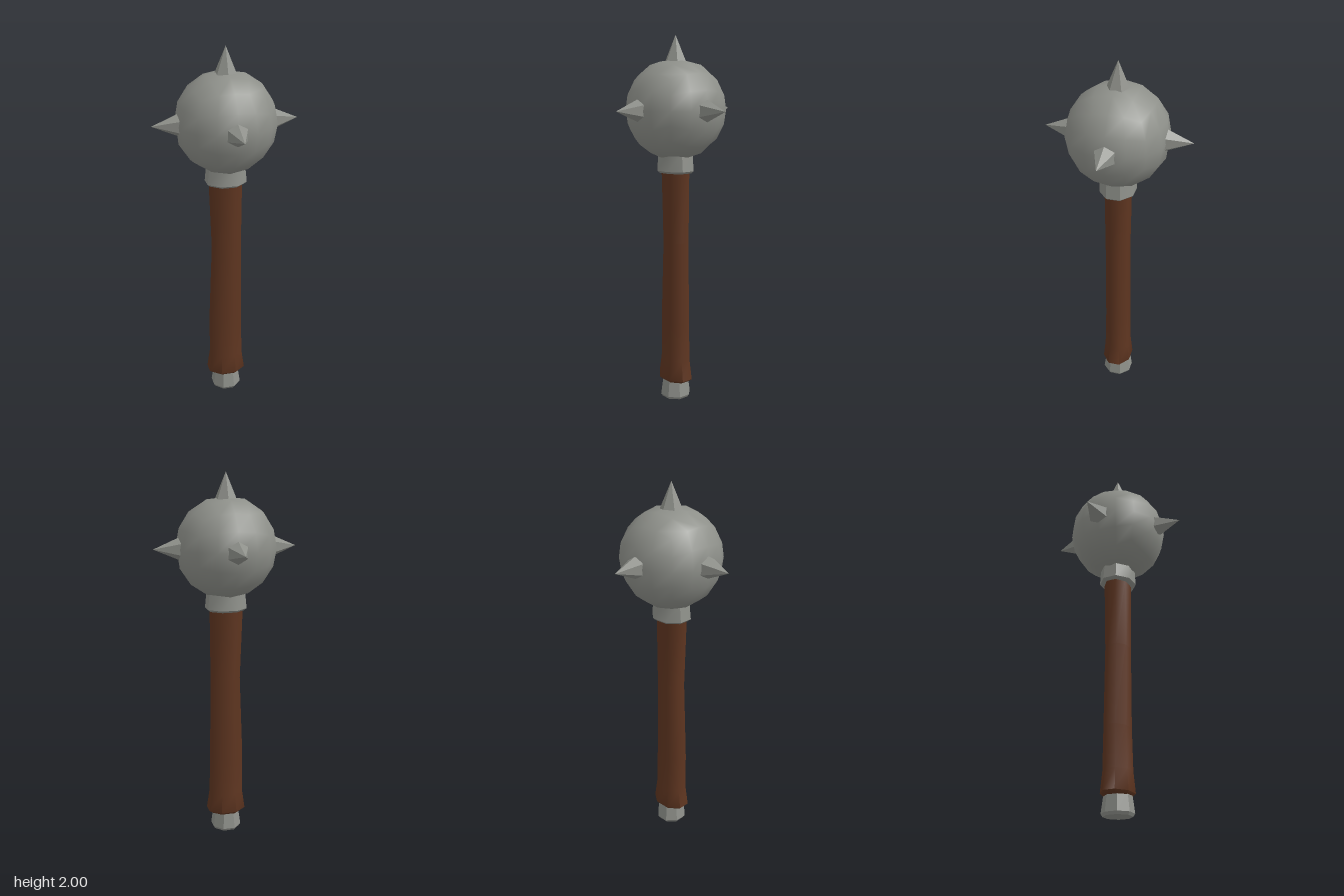
import * as THREE from 'three';
import { toCreasedNormals } from 'three/addons/utils/BufferGeometryUtils.js';

const metal = new THREE.MeshStandardMaterial({ color: 0x8e908a });
metal.name = 'grey metal';
const wood = new THREE.MeshStandardMaterial({ color: 0x5e3520 });
wood.name = 'brown wood';

const BALL_Y = 1.615;

// Closed octagonal loft; each section is [y, left edge, right edge, half depth].
function loft(sections, crease) {
  const sides = 8;
  const grow = 1 / Math.cos(Math.PI / sides);
  const pos = [];
  const index = [];
  for (const [y, x0, x1, d] of sections) {
    for (let j = 0; j < sides; j++) {
      const a = ((j + 0.5) / sides) * Math.PI * 2;
      pos.push((x0 + x1) / 2 + ((x1 - x0) / 2) * grow * Math.cos(a), y, d * grow * Math.sin(a));
    }
  }
  const last = (sections.length - 1) * sides;
  for (let i = 0; i < last; i += sides) {
    for (let j = 0; j < sides; j++) {
      const k = (j + 1) % sides;
      index.push(i + j, i + sides + j, i + k, i + k, i + sides + j, i + sides + k);
    }
  }
  for (let j = 1; j < sides - 1; j++) {
    index.push(0, j, j + 1, last, last + j + 1, last + j);
  }
  const g = new THREE.BufferGeometry();
  g.setAttribute('position', new THREE.Float32BufferAttribute(pos, 3));
  g.setIndex(index);
  return toCreasedNormals(g, crease);
}

// Cube grid rounded into a ball, with slightly flattened poles under the spikes.
function ballGeometry() {
  const g = new THREE.BoxGeometry(2, 2, 2, 4, 4, 4);
  const p = g.attributes.position;
  const n = g.attributes.normal;
  const v = new THREE.Vector3();
  const bend = (c) => Math.tan((c * Math.PI) / 4);
  for (let i = 0; i < p.count; i++) {
    v.fromBufferAttribute(p, i);
    v.set(bend(v.x), bend(v.y), bend(v.z)).normalize();
    n.setXYZ(i, v.x, v.y, v.z);
    const axis = Math.max(Math.abs(v.x), Math.abs(v.y), Math.abs(v.z));
    v.multiplyScalar(axis > 0.99 ? 0.258 : 0.268);
    p.setXYZ(i, v.x, v.y, v.z);
  }
  return g;
}

export function createModel() {
  const model = new THREE.Group();
  model.name = 'spikedMace';
  const add = (name, geometry, material, parent = model) => {
    const mesh = new THREE.Mesh(geometry, material);
    mesh.name = name;
    parent.add(mesh);
    return mesh;
  };

  // Pommel
  add('pommel', loft([
    [0, -0.07, 0.07, 0.07],
    [0.015, -0.079, 0.079, 0.079],
    [0.115, -0.066, 0.066, 0.066],
  ], 0.5), metal);

  // Oval wooden grip, worn in on one side and flared at the foot
  add('handle', loft([
    [0.1, -0.085, 0.085, 0.066],
    [0.115, -0.104, 0.104, 0.079],
    [0.225, -0.089, 0.089, 0.069],
    [0.45, -0.09, 0.085, 0.064],
    [0.9, -0.073, 0.08, 0.062],
    [1.29, -0.087, 0.083, 0.065],
  ], 1), wood);

  // Collar under the head
  add('collar', loft([
    [1.28, -0.092, 0.092, 0.078],
    [1.292, -0.106, 0.106, 0.091],
    [1.39, -0.096, 0.096, 0.086],
  ], 0.8), metal);

  // Head
  add('ball', ballGeometry(), metal).position.y = BALL_Y;

  // Spikes: one on top and four around
  const spike = new THREE.ConeGeometry(0.06, 0.14, 6).translate(0, 0.315, 0).toNonIndexed();
  spike.computeVertexNormals();
  const spikes = new THREE.Group();
  spikes.name = 'spikes';
  spikes.position.y = BALL_Y;
  add('topSpike', spike, metal, spikes);
  ['frontSpike', 'leftSpike', 'backSpike', 'rightSpike'].forEach((name, i) => {
    const mesh = add(name, spike, metal, spikes);
    mesh.rotation.set(Math.PI / 2, (i * Math.PI) / 2, 0, 'YXZ');
  });
  model.add(spikes);

  return model;
}
